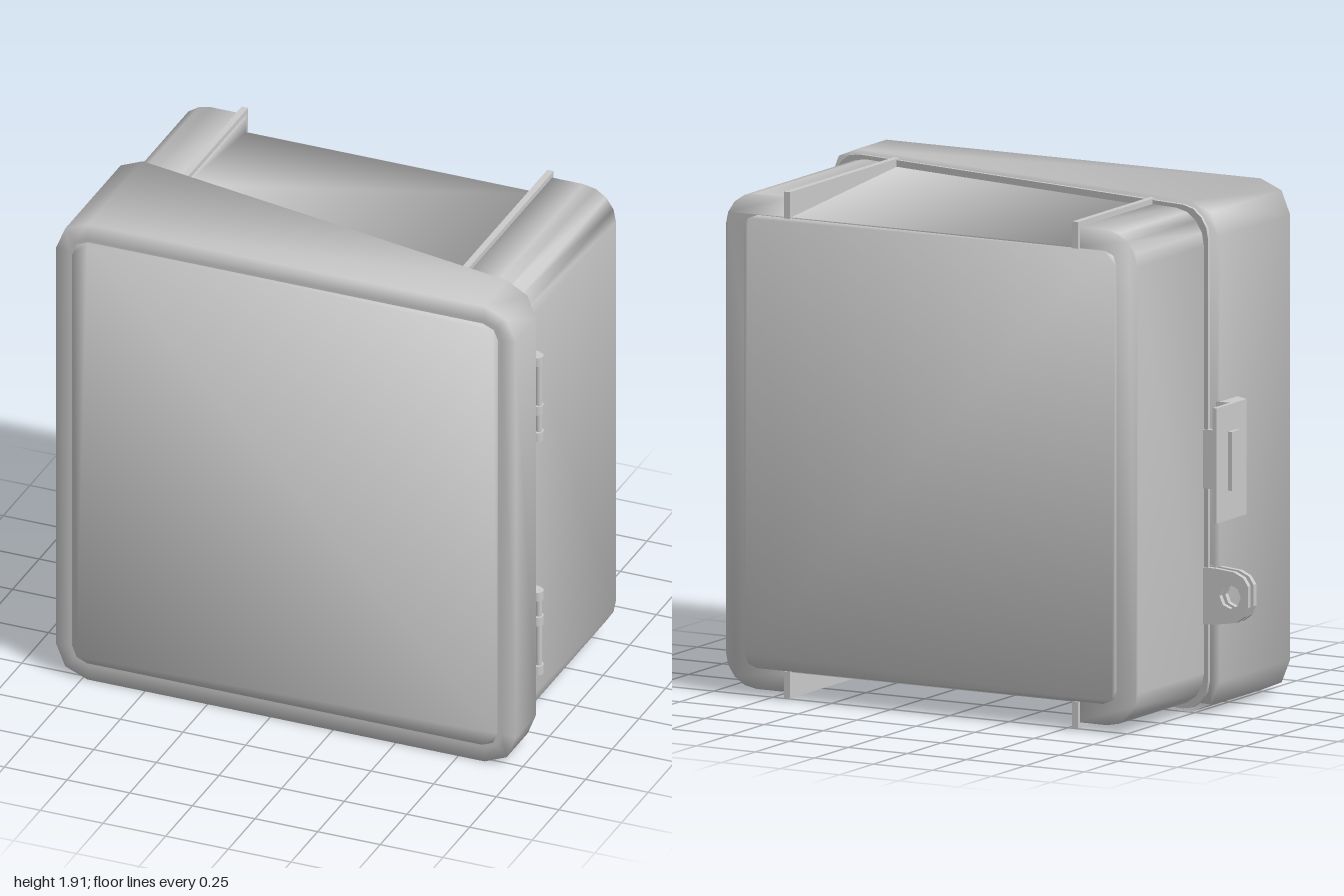
import * as THREE from 'three';
import { toCreasedNormals } from 'three/addons/utils/BufferGeometryUtils.js';

const material = new THREE.MeshStandardMaterial({ color: 0xcccccc, side: THREE.DoubleSide });

// Crease angles: SOFT also blends right-angled edges, HARD keeps them sharp
const SOFT = 1.65;
const HARD = 0.7;

// Slanted parting line between base and lid
const seam = (x) => 0.14 + 0.194 * x;

// Counter-clockwise outline of a rectangle with rounded corners, from the lower right
function roundedRect(x0, x1, y0, y1, r, segments) {
  const corners = [[x1 - r, y0 + r, -90], [x1 - r, y1 - r, 0], [x0 + r, y1 - r, 90], [x0 + r, y0 + r, 180]];
  const points = [];
  for (const [cx, cy, start] of corners) {
    for (let i = 0; i <= segments; i++) {
      const a = THREE.MathUtils.degToRad(start + (90 * i) / segments);
      points.push([cx + r * Math.cos(a), cy + r * Math.sin(a)]);
    }
  }
  return points;
}

// Closed skin over outlines ordered back to front; depth is a number or a rule of x
function loft(sections, crease) {
  const n = sections[0].outline.length;
  const positions = [];
  const index = [];
  for (const { outline, z } of sections) {
    for (const [x, y] of outline) positions.push(x, y, typeof z === 'function' ? z(x) : z);
  }
  for (let s = 0; s < sections.length - 1; s++) {
    for (let i = 0; i < n; i++) {
      const a = s * n + i;
      const b = s * n + ((i + 1) % n);
      index.push(a, b, b + n, a, b + n, a + n);
    }
  }
  const cap = (outline) =>
    THREE.ShapeUtils.triangulateShape(outline.map(([x, y]) => new THREE.Vector2(x, y)), []);
  const last = (sections.length - 1) * n;
  for (const [a, b, c] of cap(sections[0].outline)) index.push(c, b, a);
  for (const [a, b, c] of cap(sections[sections.length - 1].outline)) index.push(last + a, last + b, last + c);
  const geometry = new THREE.BufferGeometry();
  geometry.setAttribute('position', new THREE.Float32BufferAttribute(positions, 3));
  geometry.setIndex(index);
  return toCreasedNormals(geometry, crease);
}

// Base outline with a notch of the given depth in its top and bottom walls
function baseOutline(depth) {
  const corners = roundedRect(-0.81, 0.935, 0.03, 1.88, 0.13, 4);
  return [
    ...corners.slice(0, 10),
    [0.66, 1.88], [0.66, 1.88 - depth], [-0.54, 1.88 - depth], [-0.54, 1.88],
    ...corners.slice(10),
    [-0.54, 0.03], [-0.54, 0.03 + depth], [0.66, 0.03 + depth], [0.66, 0.03],
  ];
}

export function createModel() {
  const model = new THREE.Group();

  function add(name, geometry, parent = model) {
    const mesh = new THREE.Mesh(geometry, material);
    mesh.name = name;
    parent.add(mesh);
    return mesh;
  }
  function box(name, x0, x1, y0, y1, z0, z1, parent) {
    const mesh = add(name, new THREE.BoxGeometry(x1 - x0, y1 - y0, z1 - z0), parent);
    mesh.position.set((x0 + x1) / 2, (y0 + y1) / 2, (z0 + z1) / 2);
  }

  // Base: softly shaded box whose top and bottom recesses run out towards the parting line
  add('baseBody', loft([
    { outline: baseOutline(0.075), z: -0.525 },
    { outline: baseOutline(0.008), z: seam },
  ], SOFT));

  // Slightly raised back panel
  const backPanel = roundedRect(-0.72, 0.85, 0.11, 1.8, 0.05, 2);
  add('backPanel', loft([{ outline: backPanel, z: -0.535 }, { outline: backPanel, z: -0.5 }], SOFT));

  // Ribs along both sides of the recesses, cut off at the parting line
  for (const [x0, x1] of [[-0.565, -0.54], [0.655, 0.68]]) {
    for (const [y0, y1] of [[0.01, 0.11], [1.8, 1.9]]) {
      const outline = [[x0, y0], [x1, y0], [x1, y1], [x0, y1]];
      add('recessRib', loft([{ outline, z: -0.54 }, { outline, z: seam }], HARD));
    }
  }

  // Thin flange at the mouth of the base
  const flange = roundedRect(-0.83, 0.955, 0.015, 1.895, 0.12, 4);
  add('baseFlange', loft([
    { outline: flange, z: (x) => seam(x) - 0.02 },
    { outline: flange, z: (x) => seam(x) - 0.006 },
  ], HARD));

  // Lid: wedge-shaped cover with a softly shaded rim
  const lidOutline = roundedRect(-0.855, 0.98, 0, 1.91, 0.125, 2);
  const rimOutline = roundedRect(-0.8, 0.925, 0.06, 1.85, 0.07, 2);
  add('lid', loft([
    { outline: lidOutline, z: (x) => Math.max(seam(x), 0) },
    { outline: lidOutline, z: 0.52 },
    { outline: rimOutline, z: 0.522 },
  ], SOFT));

  // Raised front panel
  const panel = roundedRect(-0.785, 0.91, 0.075, 1.838, 0.06, 2);
  add('frontPanel', loft([{ outline: panel, z: 0.5 }, { outline: panel, z: 0.532 }], SOFT));

  // Two hinges of three knuckles on a thin pin
  for (const heights of [[0.31, 0.515, 0.62], [1.29, 1.4, 1.605]]) {
    const hinge = new THREE.Group();
    hinge.name = 'hinge';
    model.add(hinge);
    for (const y of heights) {
      const knuckle = add('hingeKnuckle', new THREE.CylinderGeometry(0.025, 0.025, 0.036, 10), hinge);
      knuckle.position.set(0.975, y, 0.308);
      box('hingeArm', 0.92, 0.975, y - 0.018, y + 0.018, 0.278, 0.333, hinge);
    }
    const length = heights[2] - heights[0] + 0.036;
    const pin = add('hingePin', new THREE.CylinderGeometry(0.012, 0.012, length, 8), hinge);
    pin.position.set(0.982, (heights[0] + heights[2]) / 2, 0.308);
  }

  // Latch: sloped housing on the lid, pull plate reaching back over the base, raised grip
  const latch = new THREE.Group();
  latch.name = 'latch';
  model.add(latch);
  const wedge = new THREE.Shape([[-0.84, 0], [-0.912, 0], [-0.912, 0.1], [-0.855, 0.13], [-0.84, 0.13]]
    .map(([x, z]) => new THREE.Vector2(x, -z)));
  const housing = add('latchHousing',
    new THREE.ExtrudeGeometry(wedge, { depth: 0.43, bevelEnabled: false }).rotateX(-Math.PI / 2), latch);
  housing.position.y = 0.74;
  box('latchPlate', -0.914, -0.896, 0.74, 1.17, -0.125, 0.01, latch);
  box('latchGrip', -0.93, -0.905, 0.85, 1.07, -0.04, 0.02, latch);
  box('latchCatch', -0.905, -0.8, 0.85, 1.07, -0.045, -0.02, latch);

  // Matching padlock ears on lid and base
  const ear = new THREE.Shape([
    [-0.78, 0.34], [-0.86, 0.345], [-0.95, 0.36], [-0.985, 0.385], [-1, 0.42],
    [-1, 0.5], [-0.98, 0.53], [-0.94, 0.548], [-0.86, 0.555], [-0.78, 0.555],
  ].map(([x, y]) => new THREE.Vector2(x, y)));
  const hole = [];
  for (let i = 0; i < 8; i++) {
    const a = (i * Math.PI) / 4;
    hole.push(new THREE.Vector2(-0.925 + 0.045 * Math.cos(a), 0.455 + 0.045 * Math.sin(a)));
  }
  ear.holes.push(new THREE.Path(hole));
  for (const [name, z] of [['lidEar', -0.003], ['baseEar', -0.045]]) {
    add(name, new THREE.ExtrudeGeometry(ear, { depth: 0.02, bevelEnabled: false })).position.z = z;
  }

  return model;
}
